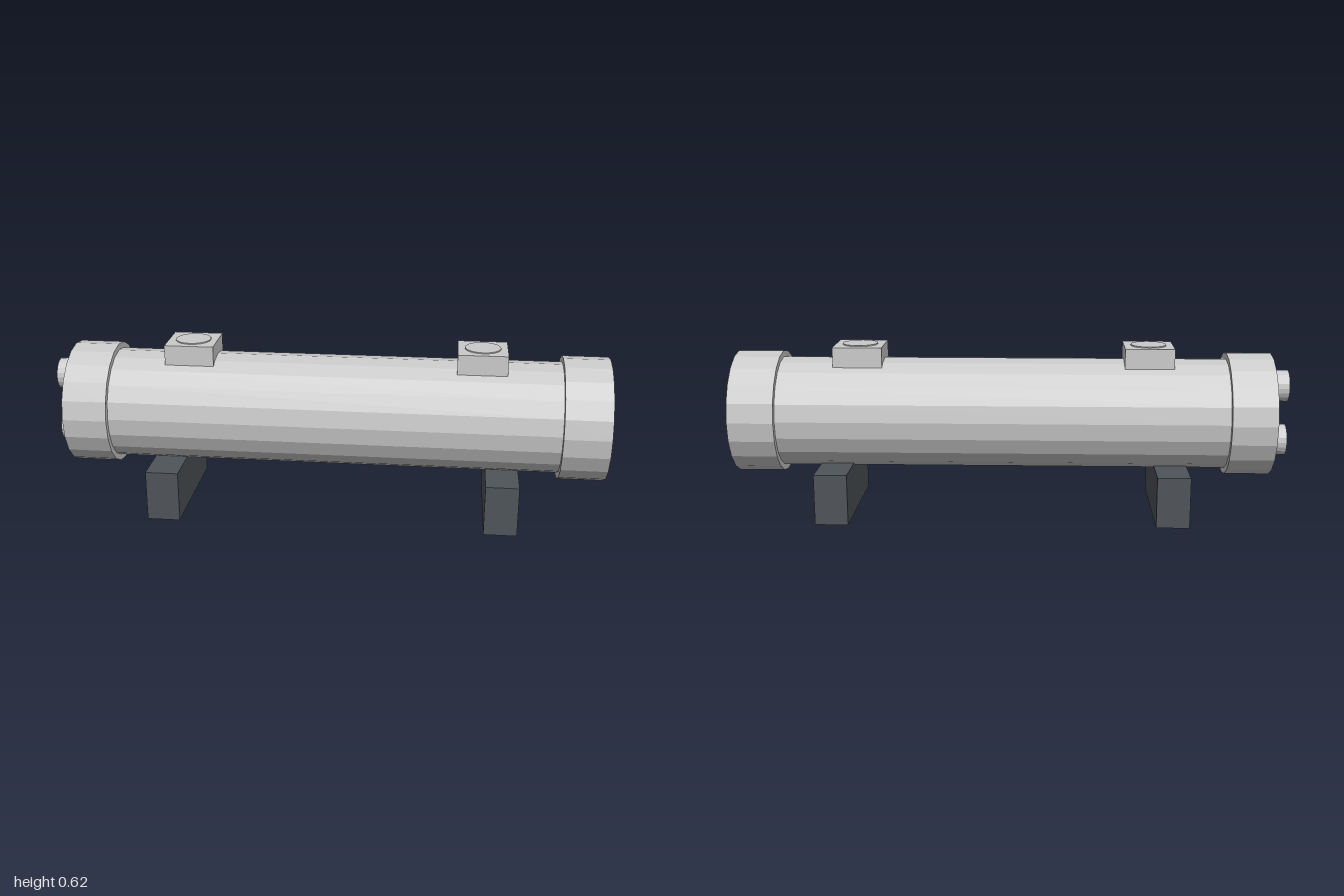
import * as THREE from 'three';

const AXIS_Y = 0.364; // height of the shell's centre line
const SIDES = 20;

export function createModel() {
  const model = new THREE.Group();
  model.name = 'heatExchanger';

  const metal = new THREE.MeshStandardMaterial({ color: 0xcacaca, flatShading: true });
  metal.name = 'light grey metal';
  const dark = new THREE.MeshStandardMaterial({ color: 0x4f5459, flatShading: true });
  dark.name = 'dark grey support';

  const add = (name, geometry, material, x, y, z = 0) => {
    const mesh = new THREE.Mesh(geometry, material);
    mesh.name = name;
    mesh.position.set(x, y, z);
    model.add(mesh);
    return mesh;
  };

  // Cylinder lying along x between two ends
  const drum = (name, x0, x1, radius) => {
    const geometry = new THREE.CylinderGeometry(radius, radius, x1 - x0, SIDES);
    geometry.rotateZ(Math.PI / 2);
    add(name, geometry, metal, (x0 + x1) / 2, AXIS_Y);
  };

  // Main shell and the wider end caps
  drum('shell', -0.80, 0.86, 0.2);
  drum('rightEndCap', -0.935, -0.775, 0.222);
  drum('leftEndCap', 0.835, 1.0, 0.222);

  // Hollow pipe stubs on the right end
  const pipeProfile = [[0.057, 0], [0.057, 0.067], [0.034, 0.067], [0.034, 0]]
    .map(([r, h]) => new THREE.Vector2(r, h));
  for (const [name, y] of [['upperPipe', 0.467], ['lowerPipe', 0.266]]) {
    const geometry = new THREE.LatheGeometry(pipeProfile, SIDES);
    geometry.rotateZ(Math.PI / 2);
    add(name, geometry, metal, -0.933, y);
  }

  // Square port blocks with a thin round cover on top
  for (const [side, x] of [['right', -0.494], ['left', 0.552]]) {
    add(side + 'PortBlock', new THREE.BoxGeometry(0.177, 0.103, 0.177), metal, x, 0.5615);
    add(side + 'PortCover', new THREE.CylinderGeometry(0.064, 0.064, 0.008, SIDES), metal, x, 0.613);
  }

  // Support blocks under the shell
  for (const [side, x] of [['right', -0.577], ['left', 0.636]]) {
    add(side + 'Support', new THREE.BoxGeometry(0.118, 0.183, 0.486), dark, x, 0.0915);
  }

  return model;
}
